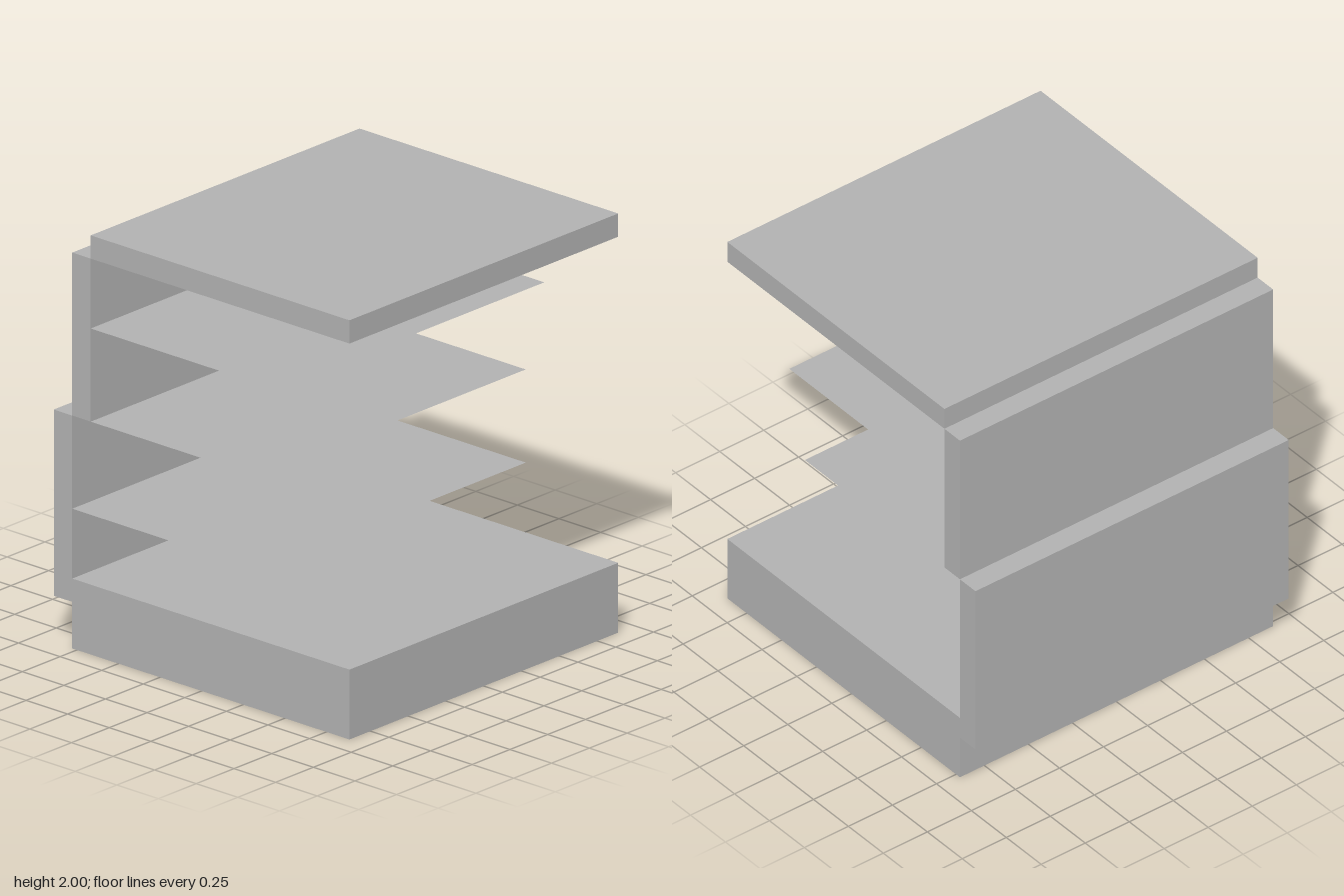
import * as THREE from 'three';

const U = 1 / 9; // module size: every dimension is a multiple of this
const WIDTH = 16 * U;

export function createModel() {
  const group = new THREE.Group();
  const grey = new THREE.MeshStandardMaterial({ color: 0xb2b2b2 });
  grey.name = 'grey';
  grey.side = THREE.DoubleSide;

  const add = (name, geometry, y, z) => {
    const mesh = new THREE.Mesh(geometry, grey);
    mesh.name = name;
    mesh.position.set(0, y * U, z * U);
    group.add(mesh);
  };

  // Full-width slab spanning y0..y1 and z0..z1, in modules
  const slab = (name, y0, y1, z0, z1) =>
    add(name, new THREE.BoxGeometry(WIDTH, (y1 - y0) * U, (z1 - z0) * U), (y0 + y1) / 2, (z0 + z1) / 2);

  // Paper-thin shelf at height y
  const shelf = (name, y, z0, z1) =>
    add(name, new THREE.PlaneGeometry(WIDTH, (z1 - z0) * U).rotateX(-Math.PI / 2), y, (z0 + z1) / 2);

  slab('base', 0, 3, -7, 8);
  slab('lowerBackPanel', 2, 10, -8, -7);
  slab('upperBackPanel', 10, 17, -7, -6);
  slab('topPanel', 17, 18, -6, 8);

  shelf('lowerShelf', 6, -7, 3);
  shelf('middleShelf', 10, -7, 3);
  shelf('upperShelf', 14, -6, 4);

  return group;
}
